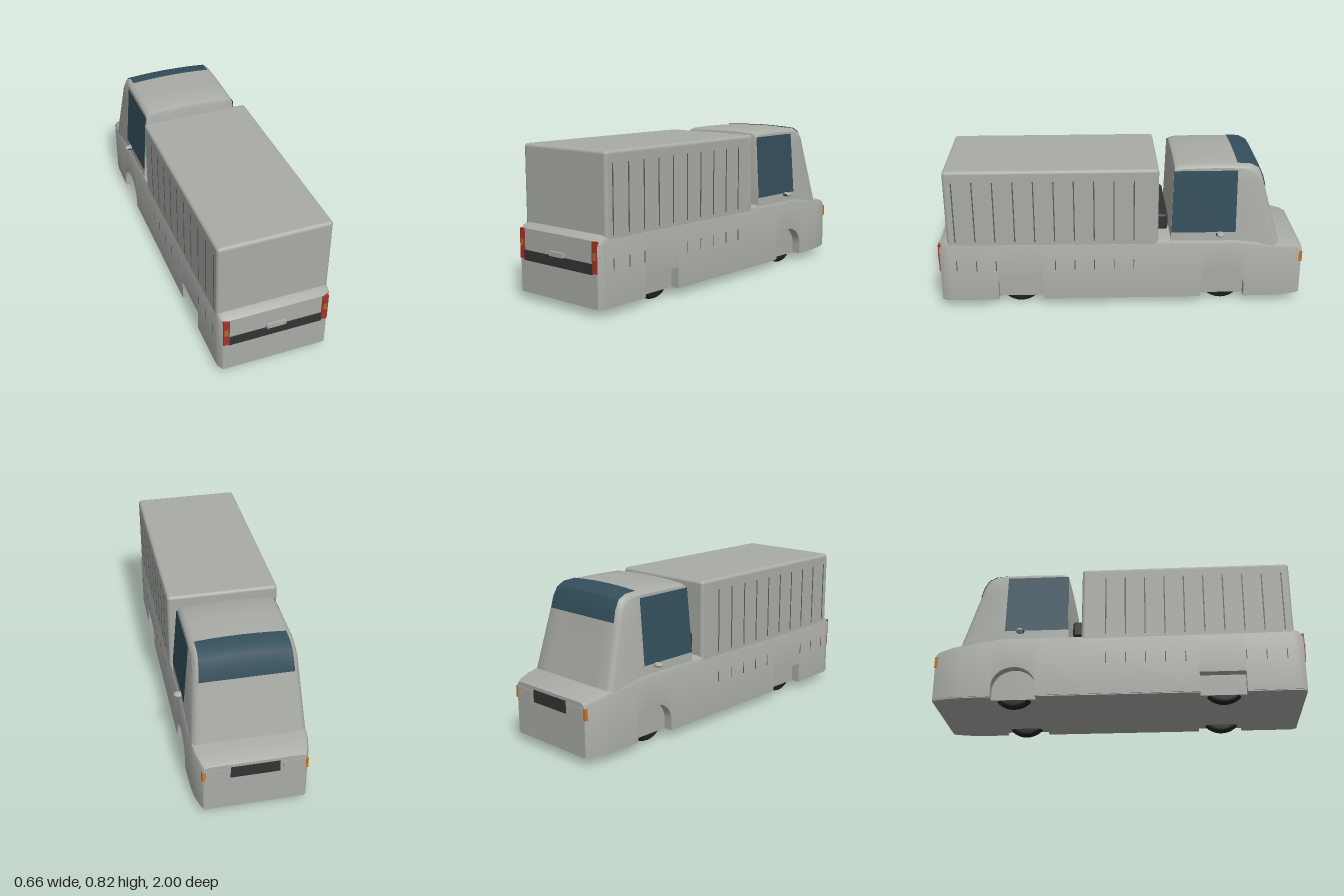
import * as THREE from 'three';
import { toCreasedNormals } from 'three/addons/utils/BufferGeometryUtils.js';
import { RoundedBoxGeometry } from 'three/addons/geometries/RoundedBoxGeometry.js';

const mat = (name, color, side = THREE.FrontSide) => {
  const m = new THREE.MeshStandardMaterial({ color, side });
  m.name = name;
  return m;
};

// Skin over a row of cross-sections; closed rings get fan caps at both ends
function loft(rows, closed = true) {
  const pos = [], n = rows[0].length;
  const tri = (...p) => p.forEach((v) => pos.push(...v));
  for (let i = 0; i < rows.length - 1; i++) {
    for (let j = 0; j < (closed ? n : n - 1); j++) {
      const k = (j + 1) % n;
      tri(rows[i][j], rows[i][k], rows[i + 1][k]);
      tri(rows[i][j], rows[i + 1][k], rows[i + 1][j]);
    }
  }
  if (closed) {
    [rows[0], rows[rows.length - 1]].forEach((r, end) => {
      const c = [0, 1, 2].map((a) => r.reduce((s, p) => s + p[a], 0) / n);
      r.forEach((p, j) => {
        const q = r[(j + 1) % n];
        end ? tri(c, p, q) : tri(c, q, p);
      });
    });
  }
  const g = new THREE.BufferGeometry();
  g.setAttribute('position', new THREE.Float32BufferAttribute(pos, 3));
  g.computeVertexNormals();
  return toCreasedNormals(g, 0.55);
}

// Body outline: z, half width, top height
const bodyKeys = [
  [-0.997, 0.262, 0.322], [-0.97, 0.274, 0.335], [-0.9, 0.292, 0.349], [-0.85, 0.297, 0.357],
  [-0.75, 0.3, 0.371], [-0.62, 0.3, 0.388], [-0.2, 0.3, 0.39], [0.6, 0.3, 0.394],
  [0.93, 0.3, 0.398], [0.96, 0.298, 0.39], [0.987, 0.282, 0.372],
];
function bodyAt(z) {
  let i = 0;
  while (i < bodyKeys.length - 2 && z > bodyKeys[i + 1][0]) i++;
  const [a, b] = [bodyKeys[i], bodyKeys[i + 1]];
  const t = (z - a[0]) / (b[0] - a[0]);
  return [a[1] + (b[1] - a[1]) * t, a[2] + (b[2] - a[2]) * t];
}
function bodySection(z, arch = 0) {
  const [w, top] = bodyAt(z);
  const inner = arch ? 0.25 : w - 0.004, y = arch || 0.045;
  const half = [[inner, 0.04], [inner, y], [w, y], [w, top - 0.025], [w - 0.008, top - 0.008], [w - 0.03, top]];
  const left = half.map(([x, h]) => [-x, h, z]).reverse();
  return [...half.map(([x, h]) => [x, h, z]), ...left];
}
function bodyGeometry() {
  const cuts = bodyKeys.map((k) => [k[0], 0]);
  // Rounded front arches
  cuts.push([-0.6801, 0], [-0.4399, 0]);
  for (let i = 0; i <= 14; i++) {
    const c = -Math.cos((Math.PI * i) / 14);
    cuts.push([-0.56 + 0.12 * c, 0.1 + 0.11 * Math.sqrt(Math.max(0, 1 - c * c))]);
  }
  // Square rear arches
  cuts.push([0.4299, 0], [0.43, 0.155], [0.6, 0.155], [0.675, 0.155], [0.6751, 0]);
  const list = cuts.filter(([z, a]) => !((z === -0.62 || z === 0.6) && a === 0));
  return loft(list.sort((a, b) => a[0] - b[0]).map(([z, a]) => bodySection(z, a)));
}

// Cab side profile as z, y: up the front, over the roof, down the back
const cabProfile = [
  [-0.868, 0.33], [-0.773, 0.67], [-0.757, 0.73], [-0.733, 0.775], [-0.69, 0.798], [-0.62, 0.803],
  [-0.45, 0.804], [-0.31, 0.8], [-0.286, 0.79], [-0.279, 0.77], [-0.268, 0.33],
];
const cabWidth = (y) => 0.29 - (y - 0.39) * 0.08;
function cabPoint(s, [z, y], out = 0) {
  const edge = Math.max(0, (Math.abs(s) - 0.9) / 0.1) ** 2;
  const crown = y > 0.7 ? 0.012 * (1 - s * s) : 0;
  const front = z < -0.6 ? 0.028 * edge : 0;
  const drop = y > 0.76 ? 0.016 * edge : 0;
  return [s * cabWidth(y), y + crown - drop + out, z + front - (z < -0.65 ? out : 0)];
}

export function createModel() {
  const truck = new THREE.Group();
  truck.name = 'boxTruck';
  const paint = mat('grey paint', 0xa9aba5);
  const glass = mat('blue glass', 0x334f5b, THREE.DoubleSide);
  const trim = mat('dark trim', 0x333333);
  const rubber = mat('black rubber', 0x202020);
  const red = mat('red lamp', 0xa5322a);
  const amber = mat('tail amber', 0xa8682c);
  const orange = mat('orange indicator', 0xc8741a);
  const seam = mat('seam grey', 0x5c5e5a);

  const add = (name, geo, m, x = 0, y = 0, z = 0) => {
    const mesh = new THREE.Mesh(geo, m);
    mesh.name = name;
    mesh.position.set(x, y, z);
    truck.add(mesh);
    return mesh;
  };
  const box = (name, m, w, h, d, x, y, z) => add(name, new THREE.BoxGeometry(w, h, d), m, x, y, z);

  // Main volumes
  add('body', bodyGeometry(), paint);
  add('cargoBox', new RoundedBoxGeometry(0.596, 0.46, 1.14, 3, 0.018), paint, 0, 0.568, 0.37);
  const steps = [-1, -0.98, -0.95, -0.9, -0.6, -0.3, 0, 0.3, 0.6, 0.9, 0.95, 0.98, 1];
  add('cab', loft(steps.map((s) => cabProfile.map((p) => cabPoint(s, p)))), paint);
  add('airDuct', new RoundedBoxGeometry(0.45, 0.09, 0.08, 2, 0.015), trim, 0, 0.465, -0.215);

  // Windscreen wraps from the nose of the cab onto the roof
  const screen = cabProfile.slice(1, 6);
  const across = [-0.9, -0.6, -0.3, 0, 0.3, 0.6, 0.9];
  add('windscreen', loft(across.map((s) => screen.map((p) => cabPoint(s, p, 0.003))), false), glass);

  // Wheel with rounded shoulders
  const tyre = [[0, -0.03], [0.1, -0.03], [0.114, -0.024], [0.12, -0.01], [0.12, 0.01], [0.114, 0.024], [0.1, 0.03], [0, 0.03]];
  const wheelGeo = new THREE.LatheGeometry(tyre.map((p) => new THREE.Vector2(...p)), 32);
  wheelGeo.rotateZ(Math.PI / 2);

  for (const s of [1, -1]) {
    for (const z of [0.556, -0.56]) add('wheel', wheelGeo, rubber, s * 0.218, 0.12, z);

    const pane = [[-0.62, 0.43], [-0.62, 0.775], [-0.28, 0.775], [-0.271, 0.43]]
      .map(([z, y]) => [s * (cabWidth(y) + 0.003), y, z]);
    add('sideWindow', loft([[pane[0], pane[1]], [pane[3], pane[2]]], false), glass);

    // Mirror with its glass facing back
    add('mirror', new THREE.SphereGeometry(1, 20, 12), paint, s * 0.3, 0.422, -0.535).scale.set(0.03, 0.013, 0.022);
    const lens = add('mirrorGlass', new THREE.SphereGeometry(1, 20, 8, 0, Math.PI), glass, s * 0.3, 0.422, -0.534);
    lens.scale.set(0.026, 0.011, 0.023);

    // Grooves along the cargo box and short slits below
    for (let i = 0; i < 10; i++) {
      const z = 0.895 - i * 0.107;
      box('boxGroove', seam, 0.004, 0.345, 0.006, s * 0.298, 0.565, z);
      if (i !== 3 && i !== 4) box('lowerSlit', seam, 0.004, 0.06, 0.005, s * 0.299, 0.25, z);
    }

    // Tail lamps
    box('tailLamp', red, 0.033, 0.157, 0.014, s * 0.2655, 0.293, 0.985);
    box('tailIndicator', amber, 0.02, 0.037, 0.004, s * 0.267, 0.299, 0.993);

    // Headlamps and corner indicators
    box('headlamp', paint, 0.11, 0.05, 0.006, s * 0.197, 0.272, -0.997);
    box('cornerIndicator', orange, 0.012, 0.06, 0.024, s * 0.263, 0.265, -0.988);
  }

  // Tail and nose details
  box('rearBumper', trim, 0.5, 0.053, 0.008, 0, 0.234, 0.988);
  box('rearPlate', paint, 0.102, 0.025, 0.014, 0, 0.272, 0.993);
  box('grille', trim, 0.25, 0.066, 0.006, 0, 0.272, -0.997);
  return truck;
}
